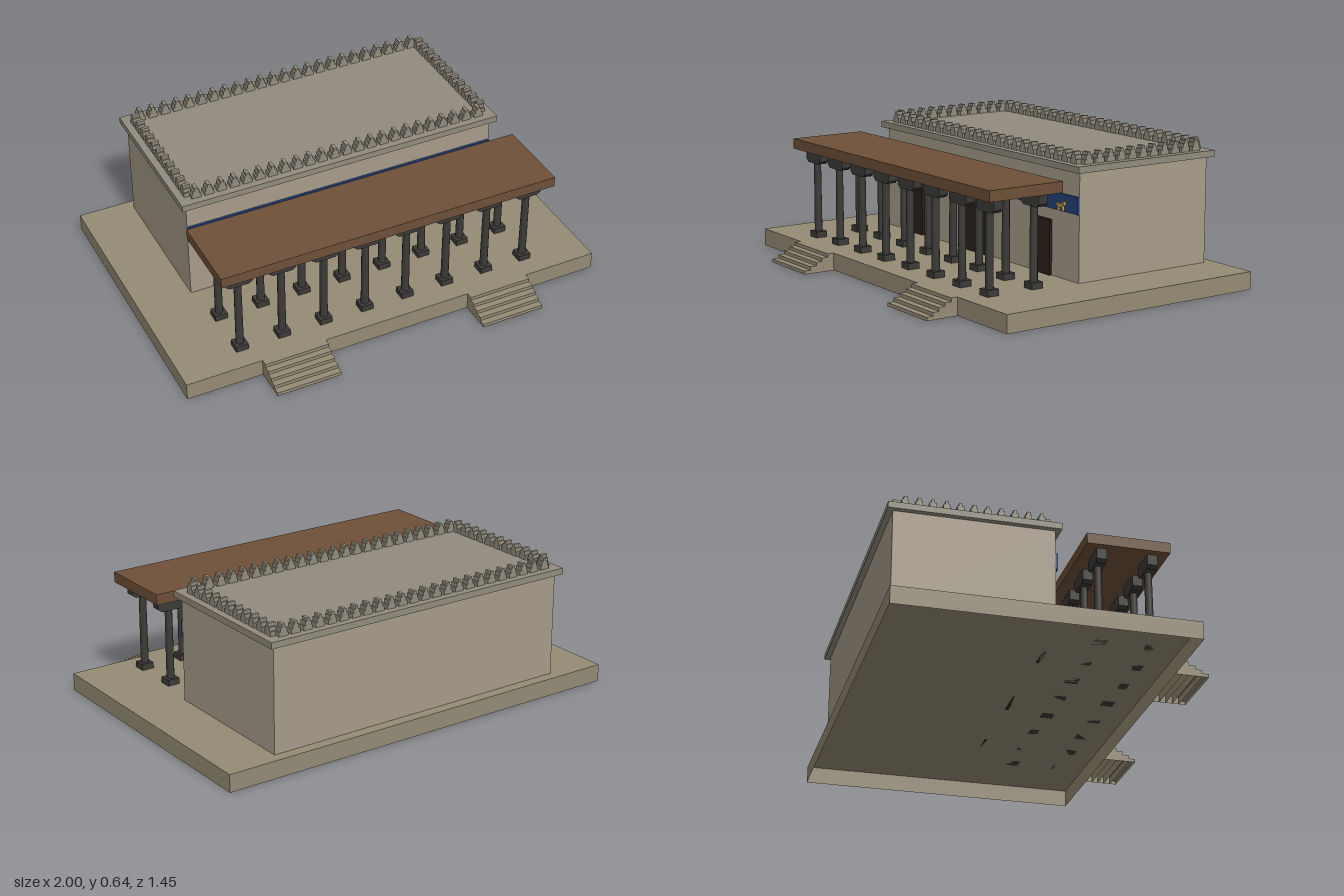
import * as THREE from 'three';

const mat = (color, side = THREE.FrontSide) => new THREE.MeshStandardMaterial({ color, side });
const M = {
  stone: mat(0x958b75, THREE.DoubleSide),
  wall: mat(0xa79c8a),
  cornice: mat(0x918c7d),
  wood: mat(0x6e5038),
  column: mat(0x3c3b38),
  door: mat(0x2b211c),
  blue: mat(0x24427c),
  gold: mat(0xb59c4c),
};

// Box given by its ranges on each axis
function box(name, material, [x0, x1], [y0, y1], [z0, z1], openBottom = false) {
  const g = new THREE.BoxGeometry(x1 - x0, y1 - y0, z1 - z0);
  if (openBottom) {
    const idx = Array.from(g.index.array);
    idx.splice(18, 6);
    g.setIndex(idx);
    g.clearGroups();
  }
  const m = new THREE.Mesh(g, material);
  m.name = name;
  m.position.set((x0 + x1) / 2, (y0 + y1) / 2, (z0 + z1) / 2);
  return m;
}

const span = (c, w) => [c - w / 2, c + w / 2];

// Stepped battlement block, three tiers
function createMerlon() {
  const g = new THREE.Group();
  g.name = 'merlon';
  [[0.044, 0, 0.02], [0.03, 0.02, 0.038], [0.015, 0.038, 0.052]].forEach(([w, y0, y1]) =>
    g.add(box('merlonTier', M.cornice, span(0, w), [y0, y1], span(0, 0.035))));
  return g;
}

// Column: square plinth, round shaft, wide bracket capital
function createColumn() {
  const g = new THREE.Group();
  g.name = 'column';
  g.add(box('columnBase', M.column, span(0, 0.058), [0, 0.028], span(0, 0.058)));
  const shaft = new THREE.Mesh(new THREE.CylinderGeometry(0.0165, 0.018, 0.33, 12), M.column);
  shaft.name = 'columnShaft';
  shaft.position.y = 0.19;
  g.add(shaft);
  const s = new THREE.Shape();
  [[-0.045, 0.352], [0.045, 0.352], [0.062, 0.365], [0.065, 0.412], [-0.065, 0.412], [-0.062, 0.365]]
    .forEach(([x, y], i) => (i ? s.lineTo(x, y) : s.moveTo(x, y)));
  const geo = new THREE.ExtrudeGeometry(s, { depth: 0.045, bevelEnabled: false });
  geo.translate(0, 0, -0.0225);
  const cap = new THREE.Mesh(geo, M.column);
  cap.name = 'columnCapital';
  g.add(cap);
  return g;
}

// Small walking animal in relief
function createAnimal() {
  const g = new THREE.Group();
  g.name = 'friezeAnimal';
  const z = [0.033, 0.048];
  g.add(box('animalBody', M.gold, [-0.02, 0.018], [0.393, 0.409], z));
  g.add(box('animalHead', M.gold, [0.012, 0.026], [0.404, 0.42], z));
  g.add(box('animalTail', M.gold, [-0.025, -0.02], [0.398, 0.411], z));
  [-0.016, 0.013].forEach(x => g.add(box('animalLeg', M.gold, span(x, 0.006), [0.379, 0.393], z)));
  return g;
}

export function createModel() {
  const model = new THREE.Group();
  model.name = 'columnedHall';

  // Platform, hollow underneath
  model.add(box('platform', M.stone, [-1, 1], [0, 0.08], [-0.725, 0.575], true));

  // Two flights of five steps
  for (const side of [-1, 1]) {
    const stairs = new THREE.Group();
    stairs.name = side > 0 ? 'leftStairs' : 'rightStairs';
    for (let i = 0; i < 5; i++) {
      const z = 0.575 + i * 0.03;
      stairs.add(box('step', M.stone, span(side * 0.5, 0.3), [0, 0.08 - i * 0.016], [z, z + 0.03], true));
    }
    model.add(stairs);
  }

  // Main hall and its roof slab
  model.add(box('hall', M.wall, [-0.75, 0.75], [0.08, 0.556], [-0.675, 0.025], true));
  model.add(box('roofSlab', M.cornice, [-0.775, 0.775], [0.556, 0.585], [-0.7, 0.05]));

  // Battlements around the roof
  const battlements = new THREE.Group();
  battlements.name = 'battlements';
  const addMerlon = (x, z, turn) => {
    const m = createMerlon();
    m.position.set(x, 0.585, z);
    m.rotation.y = turn;
    battlements.add(m);
  };
  for (let i = 0; i < 24; i++)
    for (const z of [0, -0.65]) addMerlon(-0.725 + (i + 0.5) * 1.45 / 24, z, 0);
  for (let i = 0; i < 11; i++)
    for (const x of [-0.725, 0.725]) addMerlon(x, -(i + 0.5) * 0.65 / 11, Math.PI / 2);
  model.add(battlements);

  // Doors
  model.add(box('mainDoor', M.door, span(0, 0.16), [0.08, 0.363], [0.02, 0.037]));
  for (const x of [-0.5, 0.5])
    model.add(box('sideDoor', M.door, span(x, 0.12), [0.08, 0.325], [0.02, 0.037]));

  // Blue frieze with a row of animals
  model.add(box('frieze', M.blue, [-0.75, 0.75], [0.375, 0.45], [0.02, 0.035]));
  for (let i = 0; i < 7; i++) {
    const a = createAnimal();
    a.position.x = (i - 3) * 1.5 / 7;
    model.add(a);
  }

  // Porch: two rows of eight columns under a flat timber roof
  const porch = new THREE.Group();
  porch.name = 'porch';
  for (let i = 0; i < 8; i++)
    for (const z of [0.225, 0.45]) {
      const c = createColumn();
      c.position.set(-0.7 + i * 0.2, 0.08, z);
      porch.add(c);
    }
  porch.add(box('porchRoof', M.wood, [-0.8, 0.8], [0.492, 0.54], [0.15, 0.52]));
  model.add(porch);

  return model;
}
